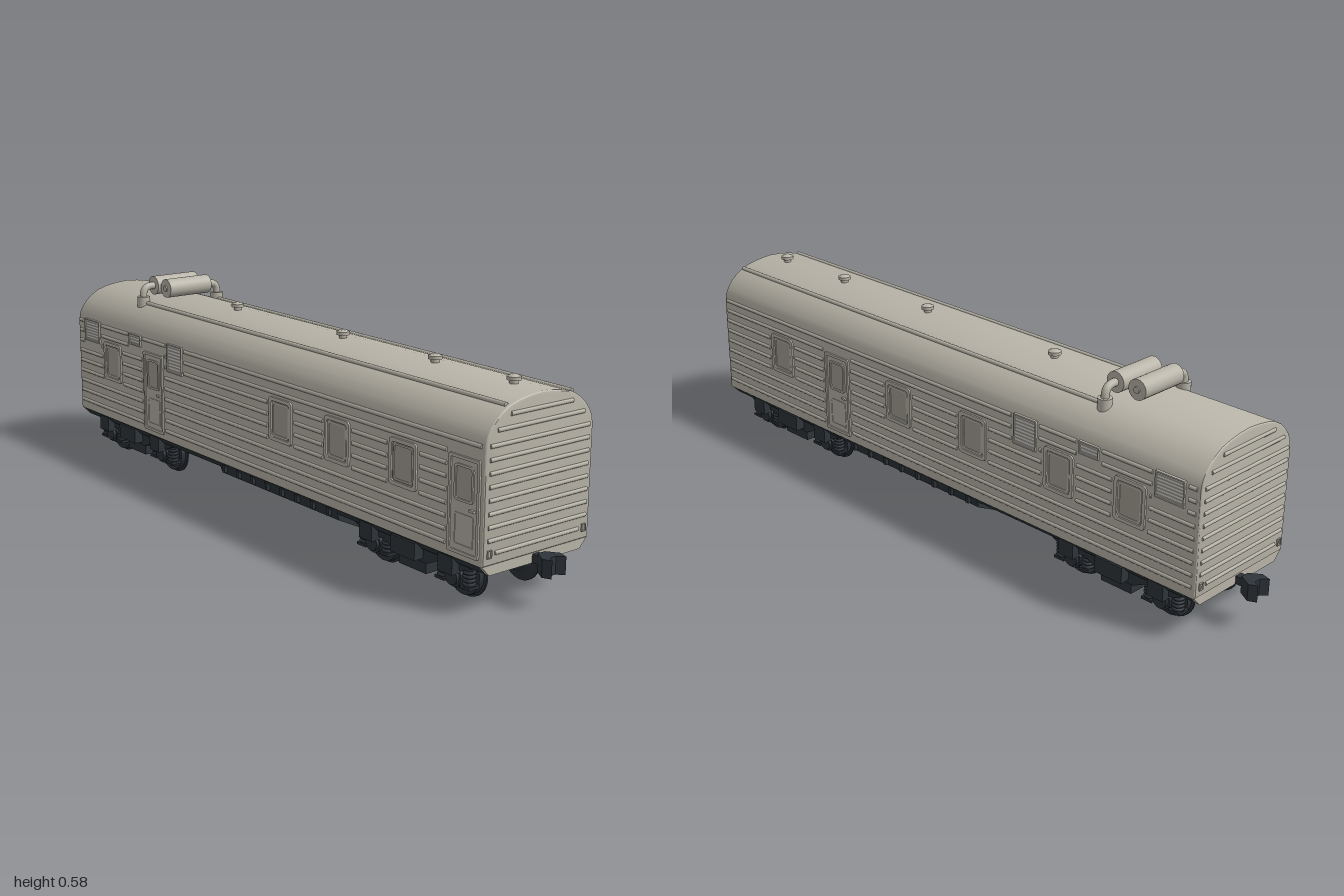
import * as THREE from 'three';
import { toCreasedNormals } from 'three/addons/utils/BufferGeometryUtils.js';

const paint = new THREE.MeshStandardMaterial({ color: 0xb8b4a8 });
const pane = new THREE.MeshStandardMaterial({ color: 0xa5a196 });
const light = new THREE.MeshStandardMaterial({ color: 0xd2d0c8 });
const dark = new THREE.MeshStandardMaterial({ color: 0x2e343a });

function add(parent, name, geo, mat, x = 0, y = 0, z = 0) {
  const m = new THREE.Mesh(geo, mat);
  m.name = name;
  m.position.set(x, y, z);
  parent.add(m);
  return m;
}
function group(parent, name, x = 0, y = 0, z = 0) {
  const g = new THREE.Group();
  g.name = name;
  g.position.set(x, y, z);
  parent.add(g);
  return g;
}
const box = (w, h, d) => new THREE.BoxGeometry(w, h, d);
const cyl = (r, len, n = 24, r2 = r) => new THREE.CylinderGeometry(r, r2, len, n);
const cylZ = (r, len, n = 24, r2 = r) => cyl(r, len, n, r2).rotateX(Math.PI / 2);

// Half cross-section [z, y] mirrored across z = 0 and extruded along x
function sweepX(half, x0, x1, bevel = 0) {
  const pts = [...half, ...half.slice().reverse().map(([z, y]) => [-z, y])];
  const shape = new THREE.Shape(pts.map(([z, y]) => new THREE.Vector2(z, y)));
  const geo = new THREE.ExtrudeGeometry(shape, {
    depth: x1 - x0 - 2 * bevel, bevelEnabled: bevel > 0, bevelSize: bevel,
    bevelThickness: bevel, bevelOffset: -bevel, bevelSegments: 3,
  });
  geo.rotateY(Math.PI / 2).translate(x0 + bevel, 0, 0);
  return toCreasedNormals(geo, 0.5);
}

function roundRect(w, h, r, Type = THREE.Shape) {
  const s = new Type(), a = w / 2, b = h / 2;
  s.moveTo(-a + r, -b).lineTo(a - r, -b).quadraticCurveTo(a, -b, a, -b + r);
  s.lineTo(a, b - r).quadraticCurveTo(a, b, a - r, b);
  s.lineTo(-a + r, b).quadraticCurveTo(-a, b, -a, b - r);
  s.lineTo(-a, -b + r).quadraticCurveTo(-a, -b, -a + r, -b);
  return s;
}
function frameGeo(w, h, t, depth, r = 0.012) {
  const s = roundRect(w, h, r);
  s.holes.push(roundRect(w - 2 * t, h - 2 * t, r * 0.7, THREE.Path));
  return new THREE.ExtrudeGeometry(s, { depth, bevelEnabled: false, curveSegments: 5 });
}

// Half-round rib along local x
const ribGeo = cyl(0.0055, 1, 10).rotateZ(Math.PI / 2);
function rib(parent, x0, x1, y, z) {
  add(parent, 'rib', ribGeo, paint, (x0 + x1) / 2, y, z).scale.set(x1 - x0, 1, 0.8);
}

const WALL = 0.178, X0 = -0.93, X1 = 0.925;
const ribY = i => 0.16 + i * 0.0325;

// Openings: kind, centre x, width, bottom, top
const win = x => ['window', x, 0.1, 0.255, 0.375];
const door = x => ['door', x, 0.105, 0.145, 0.385];
const vents = [['vent', -0.84, 0.09, 0.36, 0.43], ['vent', -0.585, 0.065, 0.392, 0.427],
  ['vent', -0.367, 0.08, 0.345, 0.43]];
const frontSide = [...vents, win(-0.72), door(-0.485), win(0.15), win(0.39), win(0.645), door(0.86)];
const backSide = [...vents, win(-0.72), win(-0.485), win(-0.175), win(0.12), door(0.385), win(0.64)];

function opening(parent, kind, x, w, y0, y1) {
  const h = y1 - y0, g = group(parent, kind, x, (y0 + y1) / 2, WALL);
  if (kind === 'window') {
    add(g, 'windowFrame', frameGeo(w, h, 0.01, 0.005), paint);
    add(g, 'windowInnerFrame', frameGeo(w - 0.026, h - 0.026, 0.005, 0.003), paint);
    add(g, 'windowPane', box(w - 0.016, h - 0.016, 0.002), pane);
  } else if (kind === 'door') {
    add(g, 'doorFrame', frameGeo(w, h, 0.008, 0.005, 0.005), paint);
    add(g, 'doorLeaf', box(w - 0.016, h - 0.016, 0.003), paint);
    add(g, 'doorWindowFrame', frameGeo(0.065, 0.09, 0.006, 0.005), paint, 0, 0.055, 0);
    add(g, 'doorWindowPane', box(0.056, 0.08, 0.004), pane, 0, 0.055, 0);
    add(g, 'doorLowerPanel', frameGeo(0.065, 0.08, 0.004, 0.003, 0.006), paint, 0, -0.06, 0);
    add(g, 'doorHandle', box(0.016, 0.006, 0.01), paint, 0.03, -0.005, 0.003);
  } else {
    add(g, 'ventPanel', box(w, h, 0.004), light);
    add(g, 'ventFrame', frameGeo(w, h, 0.004, 0.005, 0.002), paint);
    const n = Math.round(h / 0.009);
    for (let i = 1; i < n; i++)
      add(g, 'ventSlat', box(w - 0.008, 0.002, 0.006), light, 0, -h / 2 + (i * h) / n, 0).rotation.x = 0.5;
  }
}

function side(parent, name, s, list) {
  const g = group(parent, name);
  if (s < 0) g.rotation.y = Math.PI;
  const local = list.map(([k, x, ...r]) => [k, s * x, ...r]).sort((a, b) => a[1] - b[1]);
  local.forEach(o => opening(g, ...o));
  const [a, b] = s > 0 ? [X0, X1] : [-X1, -X0];
  // Ribs stop short of each opening they meet
  for (let i = 0; i < 9; i++) {
    let x = a + 0.012;
    for (const [, cx, w, y0, y1] of local) {
      if (ribY(i) < y0 - 0.006 || ribY(i) > y1 + 0.006) continue;
      if (cx - w / 2 - 0.01 > x) rib(g, x, cx - w / 2 - 0.01, ribY(i), WALL);
      x = cx + w / 2 + 0.01;
    }
    if (b - 0.012 > x) rib(g, x, b - 0.012, ribY(i), WALL);
  }
}

// End wall ribs, lamps and coupler; s is the direction along x
function carEnd(parent, s) {
  const g = group(parent, s > 0 ? 'leftEnd' : 'rightEnd', s > 0 ? X1 : X0);
  g.rotation.y = s * Math.PI / 2;
  [0.14, ...Array(8).fill(0.164), 0.143, 0.102].forEach((w, i) => rib(g, -w, w, i > 8 ? ribY(i) + 0.003 : ribY(i), 0));
  for (const k of [-1, 1])
    add(g, 'lampFrame', frameGeo(0.014, 0.02, 0.002, 0.004, 0.001), paint, k * 0.158, 0.16, 0);
  add(g, 'couplerShank', box(0.022, 0.022, 0.1), dark, 0, 0.117, -0.01);
  const head = new THREE.Shape([[-0.012, 0.015], [0.012, 0.015], [0.033, 0.045], [0.025, 0.072],
    [0.008, 0.055], [-0.012, 0.055], [-0.022, 0.072], [-0.033, 0.05]].map(p => new THREE.Vector2(...p)));
  add(g, 'couplerHead', new THREE.ExtrudeGeometry(head, { depth: 0.046, bevelEnabled: false })
    .rotateX(Math.PI / 2), dark, 0, 0.135, 0);
}

function bogie(parent, cx) {
  const g = group(parent, 'bogie', cx);
  const wheel = new THREE.LatheGeometry([[0, 0.05], [0.02, 0.052], [0.044, 0.08], [0.064, 0.087], [0.064, 0.092],
    [0.058, 0.095], [0.056, 0.108], [0.044, 0.108], [0.038, 0.1], [0, 0.1]].map(p => new THREE.Vector2(...p)), 32);
  const wheelGeo = toCreasedNormals(wheel.rotateX(Math.PI / 2), 0.5);
  // Side beam dipping toward the middle
  const beam = new THREE.Shape([[-0.215, 0.1], [-0.18, 0.085], [-0.1, 0.088], [-0.06, 0.068], [0.06, 0.068],
    [0.1, 0.088], [0.18, 0.085], [0.215, 0.1], [0.215, 0.122], [-0.215, 0.122]].map(p => new THREE.Vector2(...p)));
  const beamGeo = new THREE.ExtrudeGeometry(beam, { depth: 0.022, bevelEnabled: false });
  const coil = new THREE.TorusGeometry(0.013, 0.0045, 6, 14).rotateX(Math.PI / 2);
  for (const s of [1, -1]) {
    const h = group(g, 'bogieSide');
    if (s < 0) h.rotation.y = Math.PI;
    add(h, 'sideFrame', beamGeo, dark, 0, 0, 0.125);
    for (const wx of [-0.148, 0.148]) {
      add(h, 'wheel', wheelGeo, dark, wx, 0.064, 0);
      [[0.034, 0.1, 0.13], [0.028, 0.13, 0.142], [0.022, 0.142, 0.15]].forEach(([r, a, b]) =>
        add(h, 'axleBox', cylZ(r, b - a, 20), dark, wx, 0.064, (a + b) / 2));
      for (const k of [-1, 1]) {
        add(h, 'springSeat', box(0.034, 0.007, 0.036), dark, wx + k * 0.044, 0.046, 0.128);
        for (let i = 0; i < 4; i++) add(h, 'spring', coil, dark, wx + k * 0.044, 0.054 + i * 0.01, 0.13);
      }
      add(h, 'frameBracket', box(0.05, 0.045, 0.03), dark, wx, 0.1, 0.155);
    }
    add(h, 'bolsterBlock', box(0.09, 0.045, 0.03), dark, 0, 0.1, 0.16);
    add(h, 'bolsterDrop', box(0.1, 0.05, 0.05), dark, 0, 0.062, 0.115);
  }
  for (const wx of [-0.148, 0.148]) add(g, 'axle', cylZ(0.014, 0.2, 16), dark, wx, 0.064, 0);
  add(g, 'bolster', box(0.1, 0.06, 0.25), dark, 0, 0.075, 0);
  for (const wx of [-0.205, 0.205]) add(g, 'endBeam', box(0.016, 0.022, 0.27), dark, wx, 0.11, 0);
}

export function createModel() {
  const car = new THREE.Group();
  car.name = 'railCar';

  // Body shell with arched roof
  const roof = [[WALL, 0.42], [0.174, 0.441], [0.165, 0.458], [0.15, 0.477], [0.13, 0.494], [0.105, 0.508],
    [0.075, 0.517], [0.038, 0.523], [0, 0.526]];
  add(car, 'bodyShell', sweepX([[0, 0.13], [WALL, 0.13], ...roof.slice(0, -1), [0.001, 0.526]], X0, X1, 0.006), paint);
  const skirt = [[0, 0.105], [0.152, 0.105], [0.177, 0.131]];
  add(car, 'underframe', sweepX(skirt, X0 + 0.012, X1 - 0.012), dark);
  for (const x of [X0 + 0.003, X1 - 0.013]) add(car, 'endSill', sweepX([...skirt, [0.177, 0.14]], x, x + 0.01), paint);

  side(car, 'frontSide', 1, frontSide);
  side(car, 'backSide', -1, backSide);
  carEnd(car, 1);
  carEnd(car, -1);

  // Roof tanks with elbow pipes, each feeding a long roof pipe
  for (const [x, s] of [[-0.642, 1], [-0.572, -1]]) {
    const g = group(car, 'roofTank', x);
    add(g, 'tank', cylZ(0.028, 0.148, 28), paint, 0, 0.557, 0);
    add(g, 'tankCap', cylZ(0.009, 0.156, 12), paint, 0, 0.557, 0);
    const path = new THREE.CurvePath();
    const v = (y, z) => new THREE.Vector3(0, y, s * z);
    path.add(new THREE.LineCurve3(v(0.557, 0.07), v(0.557, 0.083)));
    path.add(new THREE.QuadraticBezierCurve3(v(0.557, 0.083), v(0.557, 0.111), v(0.53, 0.111)));
    path.add(new THREE.LineCurve3(v(0.53, 0.111), v(0.5, 0.111)));
    add(g, 'elbowPipe', new THREE.TubeGeometry(path, 24, 0.011, 14), paint);
    add(g, 'pipeSocket', cyl(0.019, 0.036, 20), paint, 0, 0.509, s * 0.111);
    add(g, 'roofPipe', cyl(0.006, X1 - 0.01 - x, 10).rotateZ(Math.PI / 2), paint, (X1 - 0.01 - x) / 2, 0.508, s * 0.108);
  }

  // Mushroom roof vents
  for (const x of [-0.3, 0.19, 0.555, 0.83]) {
    const g = group(car, 'roofVent', x, 0.526, 0);
    add(g, 'ventNeck', cyl(0.011, 0.016, 16), paint, 0, 0.004, 0);
    add(g, 'ventCap', cyl(0.018, 0.009, 20), paint, 0, 0.013, 0);
    add(g, 'ventTop', cyl(0.009, 0.004, 20, 0.016), paint, 0, 0.0195, 0);
  }

  // Equipment hung below the floor
  add(car, 'equipmentCase', sweepX([[0.001, 0.045], [0.06, 0.045], [0.15, 0.088], [0.165, 0.13]], -0.17, 0.365), dark);
  const barrel = [0, 1, 2, 3, 4, 5, 6].map(i => {
    const a = (i / 6) * Math.PI / 2;
    return [0.001 + 0.15 * Math.sin(a), 0.125 - 0.062 * Math.cos(a)];
  });
  add(car, 'waterTank', sweepX(barrel, -0.39, -0.195), dark);
  for (const s of [-1, 1]) for (let i = 0; i < 8; i++)
    add(car, 'caseBracket', box(0.01, 0.03, 0.01), dark, -0.14 + i * 0.068, 0.112, s * 0.162);

  bogie(car, -0.655);
  bogie(car, 0.642);
  return car;
}
